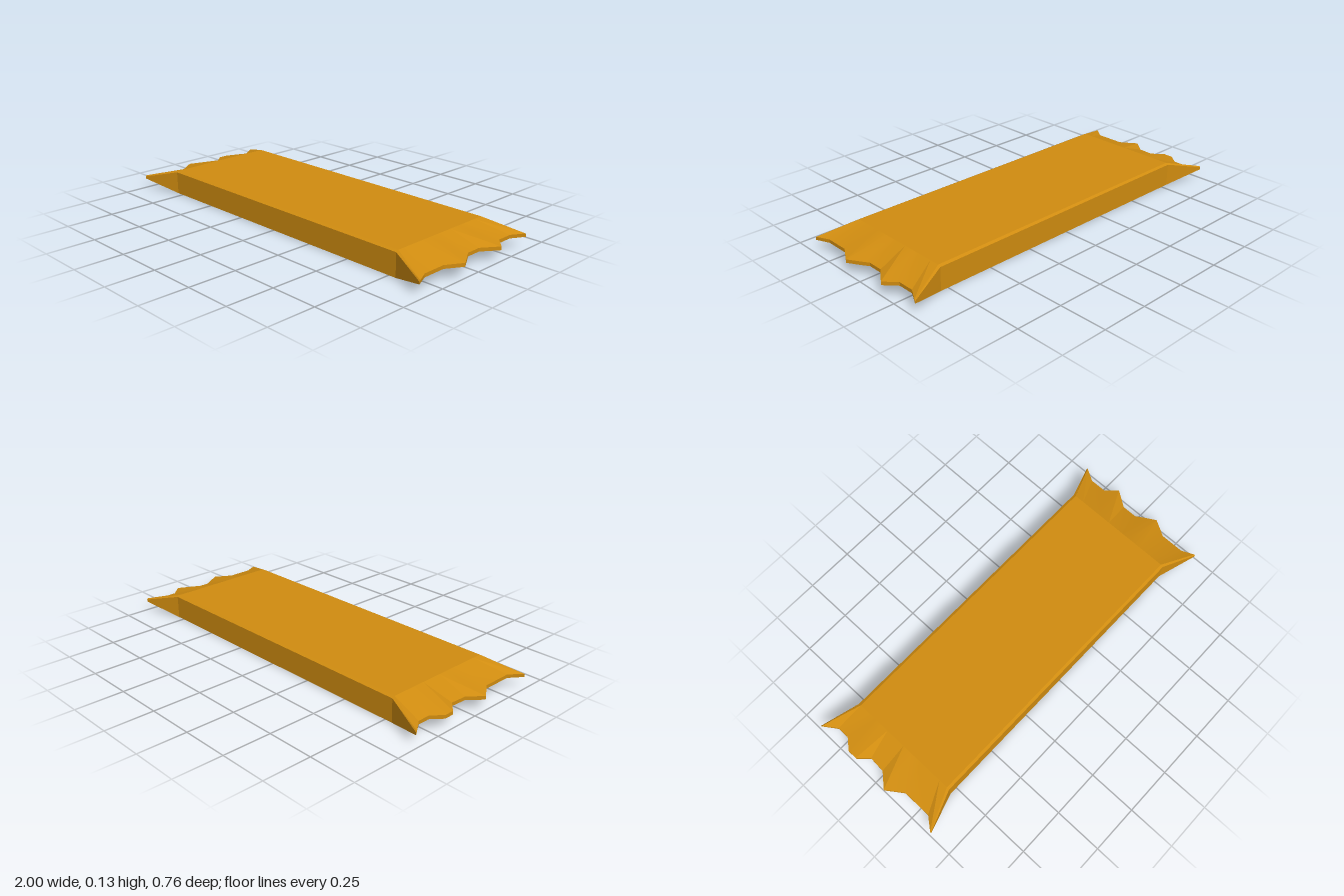
import * as THREE from 'three';
import { toCreasedNormals } from 'three/addons/utils/BufferGeometryUtils.js';

// Torn edge of each sealed end, as [x, z] from front to back
const leftEnd = [[0.98, 0.375], [0.95, 0.31], [0.95, 0.185], [1, 0.1], [0.965, 0.04], [0.94, 0],
  [0.94, -0.08], [1, -0.165], [0.945, -0.225], [0.945, -0.31], [0.985, -0.378]];
const rightEnd = [[-0.99, 0.373], [-0.94, 0.31], [-0.94, 0.155], [-1, 0.07], [-0.94, 0], [-0.935, -0.085],
  [-0.985, -0.14], [-0.985, -0.19], [-0.94, -0.245], [-0.94, -0.31], [-0.99, -0.378]];
const n = leftEnd.length;
const loopSize = 2 * n + 2;

// Closed cross-section: front bevel, top row, back bevel, bottom row reversed
function section(edge, top, bevel, bottom, bevelOut, bottomOut) {
  const row = (y, out) => edge.map(([x, z], i) =>
    [x, y, z + (i === 0 ? out : i === n - 1 ? -out : 0)]);
  const rim = row(bevel, bevelOut);
  return [rim[0], ...row(top, 0), rim[n - 1], ...row(bottom, bottomOut).reverse()];
}

function wrapperGeometry() {
  // Straight shoulder where the full-height middle starts
  const shoulder = (end, x) => end.map(([, z]) => [x, z * 0.295 / 0.376]);
  const sections = [
    section(rightEnd, 0.073, 0.067, 0.055, 0.005, 0.005),
    section(shoulder(rightEnd, -0.79), 0.127, 0.12, 0, 0.014, 0.012),
    section(shoulder(leftEnd, 0.79), 0.127, 0.12, 0, 0.014, 0.012),
    section(leftEnd, 0.073, 0.067, 0.055, 0.005, 0.005),
  ];
  const index = [];
  const quad = (a, b, c, d) => index.push(a, b, c, a, c, d);

  // Skin between neighbouring sections
  for (let s = 0; s < sections.length - 1; s++) {
    for (let j = 0; j < loopSize; j++) {
      const k = (j + 1) % loopSize;
      const a = s * loopSize, b = a + loopSize;
      quad(a + j, b + j, b + k, a + k);
    }
  }

  // Thin zigzag walls closing both ends
  for (const [base, flip] of [[0, true], [3 * loopSize, false]]) {
    const top = (i) => base + 1 + i;
    const bottom = (i) => base + loopSize - 1 - i;
    const tri = (a, b, c) => (flip ? index.push(a, c, b) : index.push(a, b, c));
    for (let i = 0; i < n - 1; i++) {
      tri(top(i), bottom(i), bottom(i + 1));
      tri(top(i), bottom(i + 1), top(i + 1));
    }
    tri(base, bottom(0), top(0));
    tri(top(n - 1), bottom(n - 1), base + n + 1);
  }

  const geometry = new THREE.BufferGeometry();
  geometry.setAttribute('position', new THREE.Float32BufferAttribute(sections.flat(2), 3));
  geometry.setIndex(index);
  return toCreasedNormals(geometry, 0.25);
}

export function createModel() {
  const group = new THREE.Group();
  group.name = 'wrappedBar';
  const wrapper = new THREE.Mesh(
    wrapperGeometry(),
    new THREE.MeshStandardMaterial({ color: 0xd08c10 }),
  );
  wrapper.name = 'wrapper';
  group.add(wrapper);
  return group;
}
